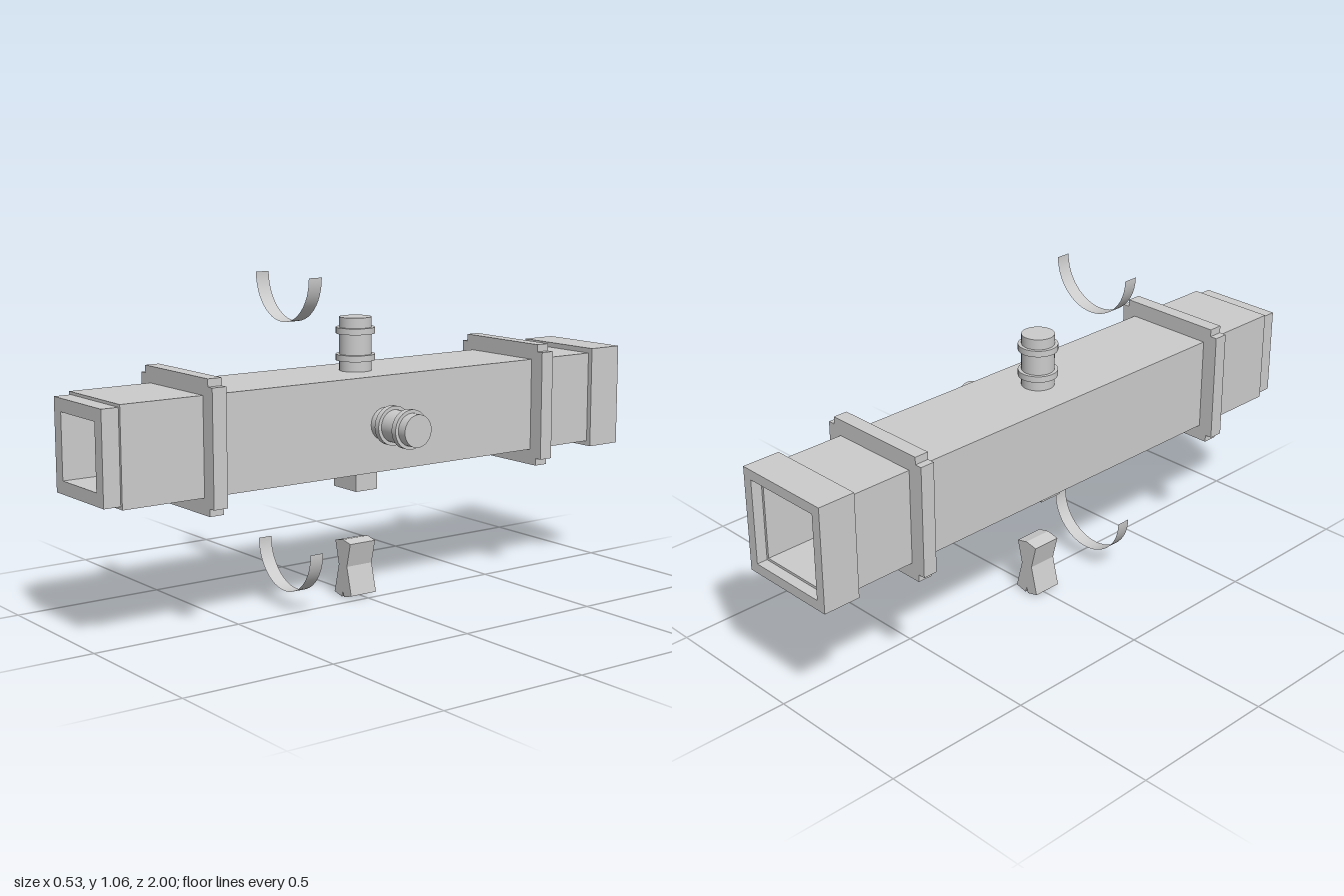
import * as THREE from 'three';

const CX = -0.06, CY = 0.593, CZ = 0.006; // axis of the tube and centre of its fittings
const grey = new THREE.MeshStandardMaterial({ color: 0xcccccc });
const thin = new THREE.MeshStandardMaterial({ color: 0xcccccc, side: THREE.DoubleSide });

function polygon(points, Type = THREE.Shape) {
  return new Type(points.map(([x, y]) => new THREE.Vector2(x, y)));
}

const square = (h) => [[-h, -h], [h, -h], [h, h], [-h, h]];

export function createModel() {
  const model = new THREE.Group();

  function add(name, geometry, x, y, z, material = grey, parent = model) {
    const mesh = new THREE.Mesh(geometry, material);
    mesh.name = name;
    mesh.position.set(x, y, z);
    parent.add(mesh);
    return mesh;
  }

  // Extruded frame with a square opening, running from z0 to z1
  function frame(name, outline, innerHalf, z0, z1) {
    const shape = polygon(outline);
    shape.holes.push(polygon(square(innerHalf).reverse(), THREE.Path));
    const geometry = new THREE.ExtrudeGeometry(shape, { depth: z1 - z0, bevelEnabled: false });
    add(name, geometry, CX, CY, z0);
  }

  // Hollow square tube and its end pieces
  frame('tube', square(0.153), 0.13, -0.965, 0.945);
  frame('frontSleeve', square(0.144), 0.103, 0.885, 1);
  frame('rearCollar', square(0.17), 0.15, -0.965, -0.875);
  frame('rearLip', square(0.17), 0.138, -1, -0.965);

  // Flanges with notched corners
  const a = 0.205, b = 0.181;
  const notched = [[-b, -a], [b, -a], [b, -b], [a, -b], [a, b], [b, b],
    [b, a], [-b, a], [-b, b], [-a, b], [-a, -b], [-b, -b]];
  for (const [name, z] of [['frontFlange', 0.647], ['rearFlange', -0.637]]) {
    frame(name, notched, 0.15, z - 0.024, z + 0.024);
  }

  // Adjustment knobs: a stem with two raised bands
  function knob(name) {
    const group = new THREE.Group();
    group.name = name;
    add('stem', new THREE.CylinderGeometry(0.052, 0.052, 0.18, 32), 0, 0.083, 0, grey, group);
    for (const y of [0.044, 0.13]) {
      add('band', new THREE.CylinderGeometry(0.063, 0.063, 0.02, 32), 0, y, 0, grey, group);
    }
    model.add(group);
    return group;
  }
  knob('topKnob').position.set(CX, 0.745, CZ);
  const side = knob('sideKnob');
  side.position.set(0.092, CY, CZ);
  side.rotation.z = -Math.PI / 2;

  // Mounting block under the tube
  add('mountBlock', new THREE.BoxGeometry(0.12, 0.09, 0.084), CX, 0.407, CZ);

  // Waisted clamp piece below
  const clamp = polygon([[-0.102, 0.186], [-0.06, 0.195], [-0.02, 0.186], [-0.039, 0.108],
    [-0.015, 0.014], [-0.055, 0.003], [-0.061, 0.022], [-0.067, 0.003], [-0.107, 0.012], [-0.083, 0.108]]);
  add('clamp', new THREE.ExtrudeGeometry(clamp, { depth: 0.1, bevelEnabled: false }), 0, 0, -0.043);

  // Thin half-round straps above and below
  const strap = new THREE.CylinderGeometry(0.145, 0.145, 0.048, 24, 1, true, -Math.PI / 2, Math.PI);
  strap.rotateX(Math.PI / 2);
  add('upperStrap', strap, CX, 1.065, 0.263, thin);
  add('lowerStrap', strap, CX, 0.206, 0.263, thin);

  return model;
}
